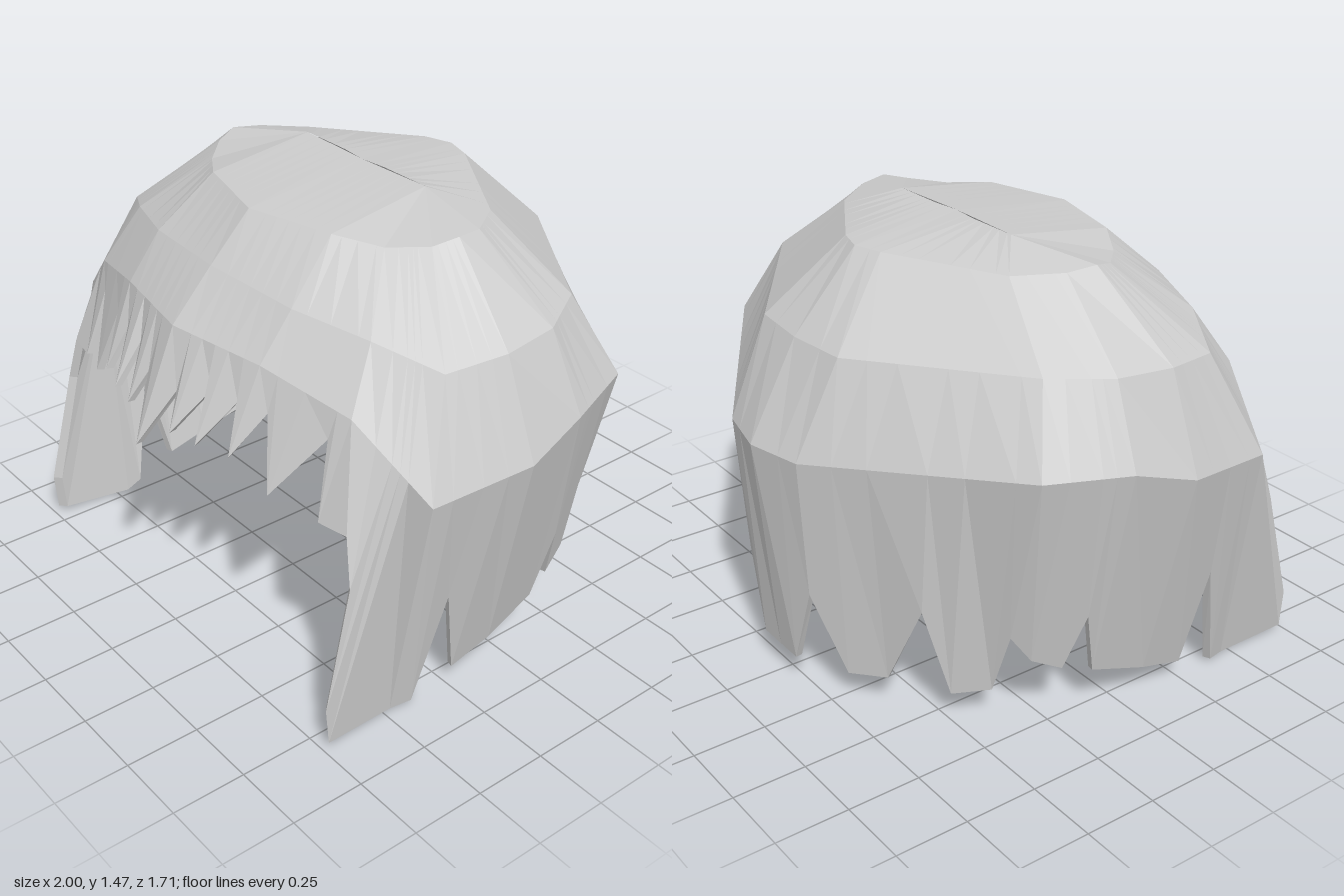
import * as THREE from 'three';

// Half rings from front centre round the +x side to back centre, crown to brim
const side = [0.3, 1.47, -0.07];
const rings = [
  [[0, 1.47, -0.06], side, side, side, side, side, side, [0.1, 1.47, -0.07], [0, 1.47, -0.06]],
  [[0, 1.42, 0.39], [0.31, 1.42, 0.31], [0.45, 1.4, 0.22], [0.55, 1.41, 0.12], [0.58, 1.43, 0.04],
    [0.56, 1.42, -0.06], [0.46, 1.41, -0.2], [0.1, 1.43, -0.42], [0, 1.43, -0.45]],
  [[0, 1.27, 0.54], [0.36, 1.25, 0.5], [0.62, 1.22, 0.41], [0.82, 1.16, 0.3], [0.87, 1.18, 0.1],
    [0.85, 1.19, -0.1], [0.74, 1.2, -0.29], [0.22, 1.18, -0.66], [0, 1.18, -0.68]],
  [[0, 1.11, 0.69], [0.36, 1.1, 0.62], [0.68, 1.03, 0.53], [0.94, 0.82, 0.44], [1, 0.86, 0.1],
    [0.97, 0.93, -0.12], [0.87, 0.94, -0.39], [0.2, 0.86, -0.81], [0, 0.86, -0.855]],
];

// Jagged hem, half way round: x, y, z and position along the rings
const hem = [
  // fringe
  [0, 0.74, 0.85, 0], [0.08, 0.93, 0.74, 0.22], [0.12, 0.82, 0.8, 0.35], [0.2, 0.97, 0.69, 0.5],
  [0.23, 0.82, 0.78, 0.65], [0.31, 0.97, 0.67, 0.82], [0.35, 0.82, 0.74, 1], [0.42, 0.97, 0.64, 1.2],
  [0.49, 0.74, 0.7, 1.5], [0.62, 0.95, 0.57, 1.85], [0.66, 0.71, 0.64, 2], [0.77, 0.71, 0.62, 2.3],
  // side locks
  [0.81, 0.55, 0.64, 2.5], [0.82, 0.15, 0.74, 2.6], [0.82, 0.02, 0.73, 2.7], [0.8, 0, 0.47, 3],
  [0.82, 0.01, 0.4, 3.2], [0.88, 0.41, 0.31, 3.5], [0.83, 0.07, 0.24, 3.75], [0.83, 0.11, 0.08, 4],
  [0.81, 0.17, -0.12, 5], [0.85, 0.41, -0.18, 5.2], [0.78, 0.2, -0.22, 5.35], [0.75, 0.25, -0.32, 5.7],
  // back locks
  [0.72, 0.34, -0.38, 6], [0.64, 0.11, -0.39, 6.1], [0.57, 0.1, -0.5, 6.3], [0.53, 0.41, -0.58, 6.45],
  [0.39, 0.11, -0.62, 6.7], [0.28, 0.1, -0.7, 6.85], [0.19, 0.38, -0.78, 7], [0.1, 0.1, -0.79, 7.4],
  [0, 0.1, -0.79, 8],
];

function sample(ring, u) {
  const i = Math.min(Math.floor(u), ring.length - 2);
  return ring[i].map((v, k) => THREE.MathUtils.lerp(v, ring[i + 1][k], u - i));
}

const inset = ([x, y, z], drop) => [x * 0.97, y - drop, z * 0.97];

// One column: down the outside, round the hem, up the inside
function column([x, y, z, u]) {
  const outer = rings.map((ring) => sample(ring, u));
  const inner = outer.map((p) => inset(p, 0.03)).reverse();
  return [...outer, [x, y, z], inset([x, y, z], 0), ...inner];
}

function hairGeometry() {
  const half = hem.map(column);
  const mirrored = half.slice(1, -1).reverse().map((col) => col.map(([x, y, z]) => [-x, y, z]));
  const columns = [...half, ...mirrored];
  const rows = columns[0].length;
  const positions = [];
  const tri = new THREE.Triangle();
  const addTriangle = (...pts) => {
    tri.set(...pts.map((p) => new THREE.Vector3(...p)));
    if (tri.getArea() > 1e-7) positions.push(...pts.flat());
  };
  columns.forEach((col, i) => {
    const next = columns[(i + 1) % columns.length];
    for (let k = 0; k < rows - 1; k++) {
      addTriangle(col[k], col[k + 1], next[k + 1]);
      addTriangle(col[k], next[k + 1], next[k]);
    }
  });
  const geometry = new THREE.BufferGeometry();
  geometry.setAttribute('position', new THREE.Float32BufferAttribute(positions, 3));
  geometry.computeVertexNormals();
  return geometry;
}

export function createModel() {
  const group = new THREE.Group();
  group.name = 'hairpiece';
  const material = new THREE.MeshStandardMaterial({ color: 0xcccccc, flatShading: true });
  const hair = new THREE.Mesh(hairGeometry(), material);
  hair.name = 'hair';
  group.add(hair);
  return group;
}
